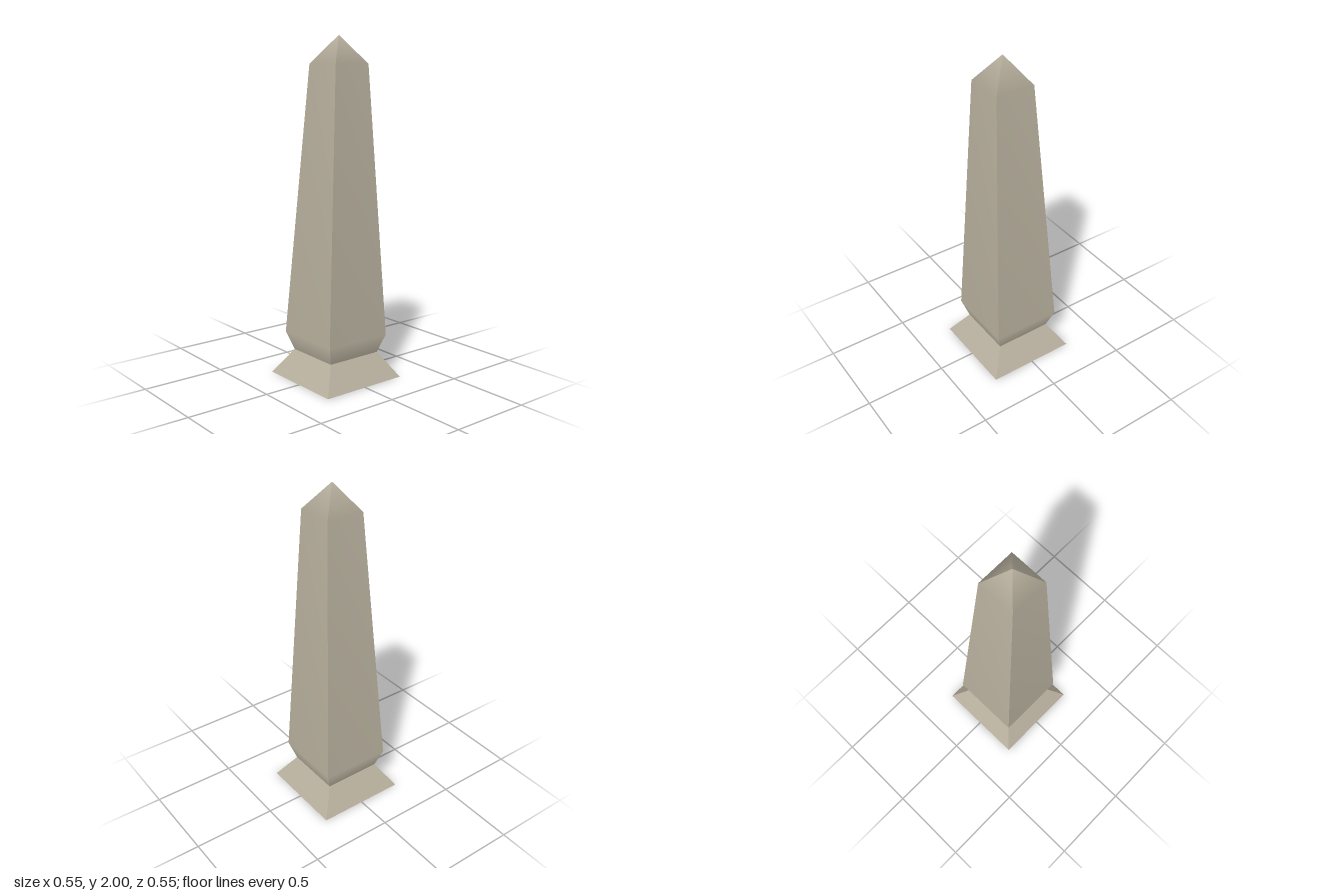
import * as THREE from 'three';

// Square rings from bottom to top: [height, half width, z of the centre]
const WAIST = [0.15, 0.175, 0];
const BASE = [[0, 0.273, 0], WAIST];
const SHAFT = [WAIST, [0.26, 0.212, 0], [1.84, 0.118, 0.03], [2, 0, 0.03]];
const CORNERS = [[-1, 1], [1, 1], [1, -1], [-1, -1]];

// Four walls through the rings; each wall has its own vertices, so corners stay
// sharp while the normals run smoothly up the wall.
function squareTower(rings, closeBottom) {
  const positions = [];
  const indices = [];
  const addPoint = ([y, half, z], [cx, cz]) => positions.push(cx * half, y, z + cz * half);

  for (let side = 0; side < 4; side++) {
    const start = positions.length / 3;
    rings.forEach((ring, i) => {
      addPoint(ring, CORNERS[side]);
      addPoint(ring, CORNERS[(side + 1) % 4]);
      if (i === 0) return;
      const a = start + (i - 1) * 2;
      indices.push(a, a + 1, a + 2);
      if (ring[1] > 0) indices.push(a + 1, a + 3, a + 2);
    });
  }
  if (closeBottom) {
    const a = positions.length / 3;
    CORNERS.forEach((corner) => addPoint(rings[0], corner));
    indices.push(a, a + 2, a + 1, a, a + 3, a + 2);
  }

  const geometry = new THREE.BufferGeometry();
  geometry.setAttribute('position', new THREE.Float32BufferAttribute(positions, 3));
  geometry.setIndex(indices);
  geometry.computeVertexNormals();
  return geometry;
}

export function createModel() {
  const stone = new THREE.MeshStandardMaterial({ color: 0xb8b09e });
  stone.name = 'stone';
  const group = new THREE.Group();
  group.name = 'obelisk';

  // Flared foot
  const base = new THREE.Mesh(squareTower(BASE, true), stone);
  base.name = 'base';

  // Tapering shaft with its pointed cap
  const shaft = new THREE.Mesh(squareTower(SHAFT, false), stone);
  shaft.name = 'shaft';

  group.add(base, shaft);
  return group;
}
